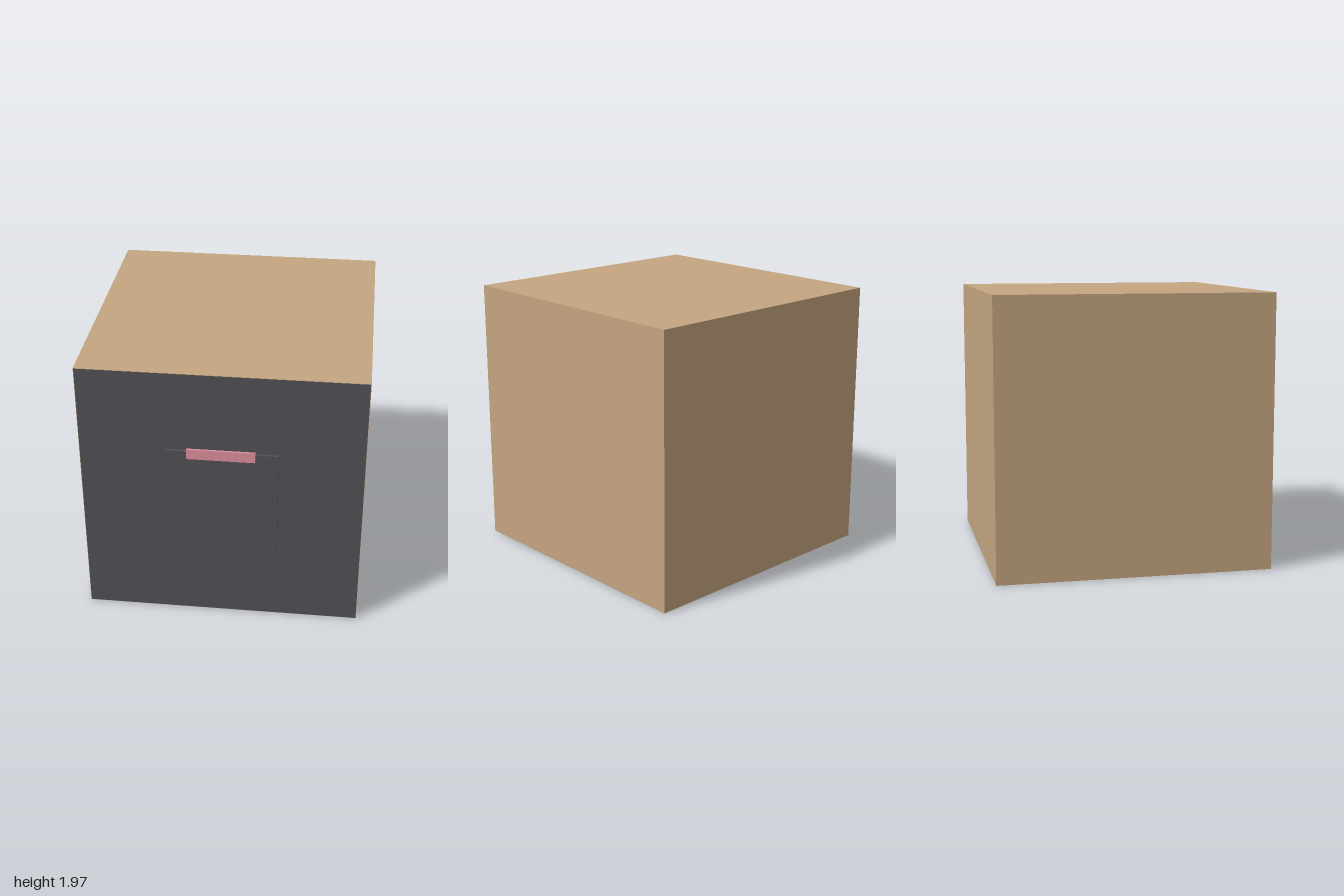
import * as THREE from 'three';

const TAN = 0xc4a580, DARK = 0x525156, PINK = 0xdf8f9d;

export function createModel() {
  const group = new THREE.Group();
  const add = (name, geometry, color, x, y, z) => {
    const mesh = new THREE.Mesh(geometry, new THREE.MeshStandardMaterial({ color }));
    mesh.name = name;
    mesh.position.set(x, y, z);
    group.add(mesh);
  };
  const S = 1.967, front = -1 + S;

  // Cube body
  add('body', new THREE.BoxGeometry(S, S, S), TAN, 0, S / 2, -1 + S / 2);
  // Dark facing that covers the front of the cube
  add('frontFace', new THREE.PlaneGeometry(S - 0.006, S - 0.006), DARK, 0, S / 2, front + 0.001);
  // Raised square door
  add('doorPanel', new THREE.BoxGeometry(0.787, 0.787, 0.018), DARK, 0, S / 2, front + 0.009);
  // Handle strip across the top edge of the door
  add('handle', new THREE.BoxGeometry(0.473, 0.077, 0.014), PINK, 0, 1.363, 0.993);

  return group;
}
